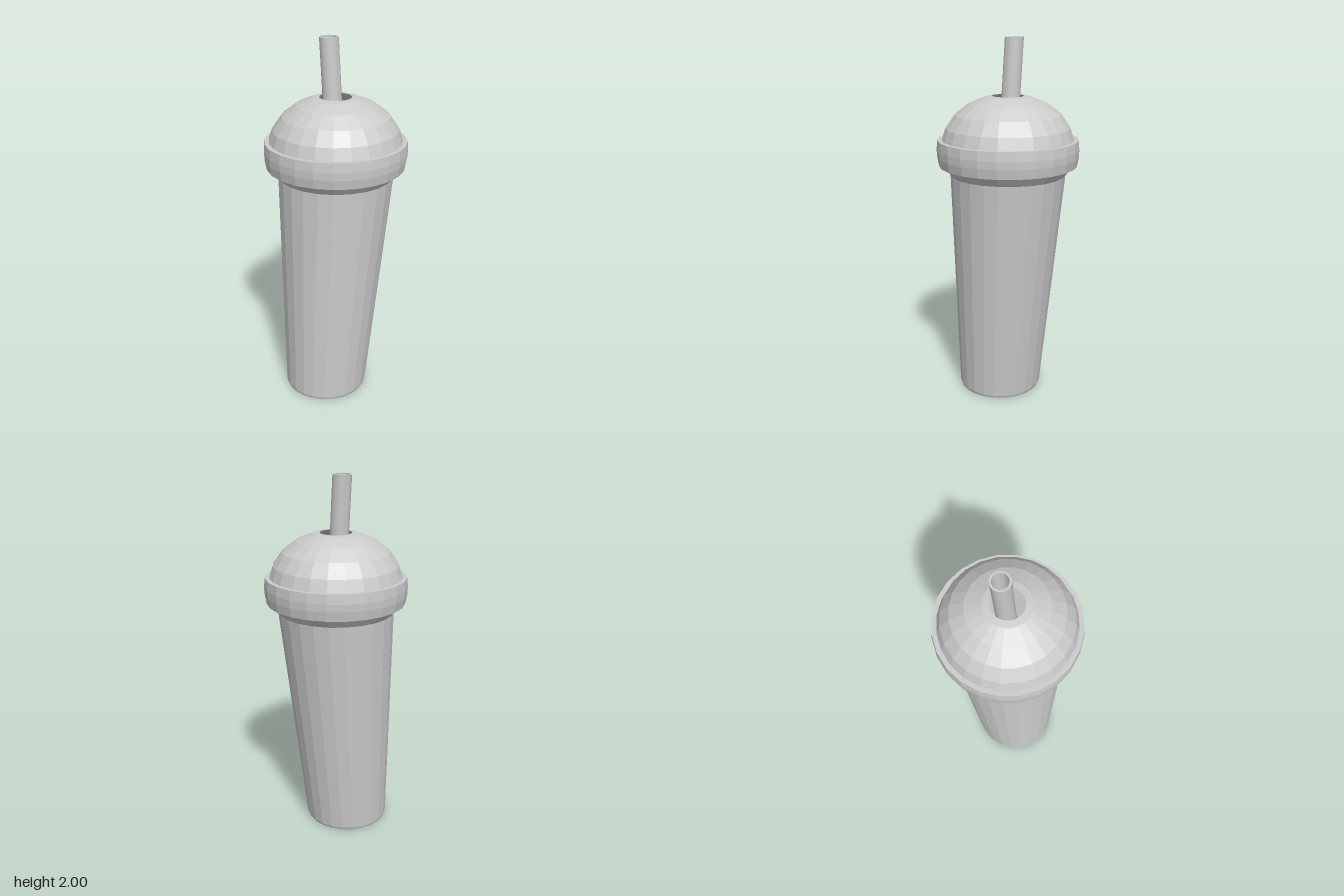
import * as THREE from 'three';
import { toCreasedNormals } from 'three/addons/utils/BufferGeometryUtils.js';

const SIDES = 24;

// Revolve a profile of [radius, height] pairs
function revolve(profile, sides = SIDES) {
  return new THREE.LatheGeometry(profile.map(([r, y]) => new THREE.Vector2(r, y)), sides);
}

// Slide every horizontal slice of a geometry by offset(y) = [dx, dz]
function lean(geometry, offset) {
  const p = geometry.attributes.position;
  for (let i = 0; i < p.count; i++) {
    const [dx, dz] = offset(p.getY(i));
    p.setX(i, p.getX(i) + dx);
    p.setZ(i, p.getZ(i) + dz);
  }
  geometry.computeVertexNormals();
  return geometry;
}

export function createModel() {
  const model = new THREE.Group();
  const faceted = new THREE.MeshStandardMaterial({ color: 0xcccccc, flatShading: true, side: THREE.DoubleSide });
  const smooth = new THREE.MeshStandardMaterial({ color: 0xcccccc, side: THREE.DoubleSide });

  function add(name, geometry, material) {
    const mesh = new THREE.Mesh(geometry, material);
    mesh.name = name;
    model.add(mesh);
  }

  // Tapered cup, upright at the front and leaning at the back, with a flared neck
  const shoulder = 1.28;
  const cup = revolve([[0, 0], [0.23, 0], [0.235, 0.015], [0.312, shoulder], [0.35, 1.33], [0.35, 1.4]]);
  add('cup', lean(cup, (y) => [0, 0.082 * Math.max(0, 1 - y / shoulder)]), faceted);

  // Overhanging rim band of the lid
  add('lidRim', revolve([
    [0.35, 1.345], [0.355, 1.33], [0.372, 1.33], [0.381, 1.38], [0.383, 1.42], [0.379, 1.47], [0.355, 1.47],
  ]), faceted);

  // Dome with an open hole at the top
  add('lidDome', revolve([
    [0.355, 1.47], [0.335, 1.532], [0.285, 1.603], [0.21, 1.66], [0.122, 1.695], [0.085, 1.7],
  ]), faceted);

  // Hollow straw tilted to one side, reaching down into the cup
  const straw = revolve([[0.04, 0.05], [0.05, 0.05], [0.05, 2], [0.04, 2], [0.04, 0.05]], 24);
  lean(straw, (y) => [-0.045 + 0.075 * (2 - y), 0.005]);
  add('straw', toCreasedNormals(straw, 0.6), smooth);

  return model;
}
